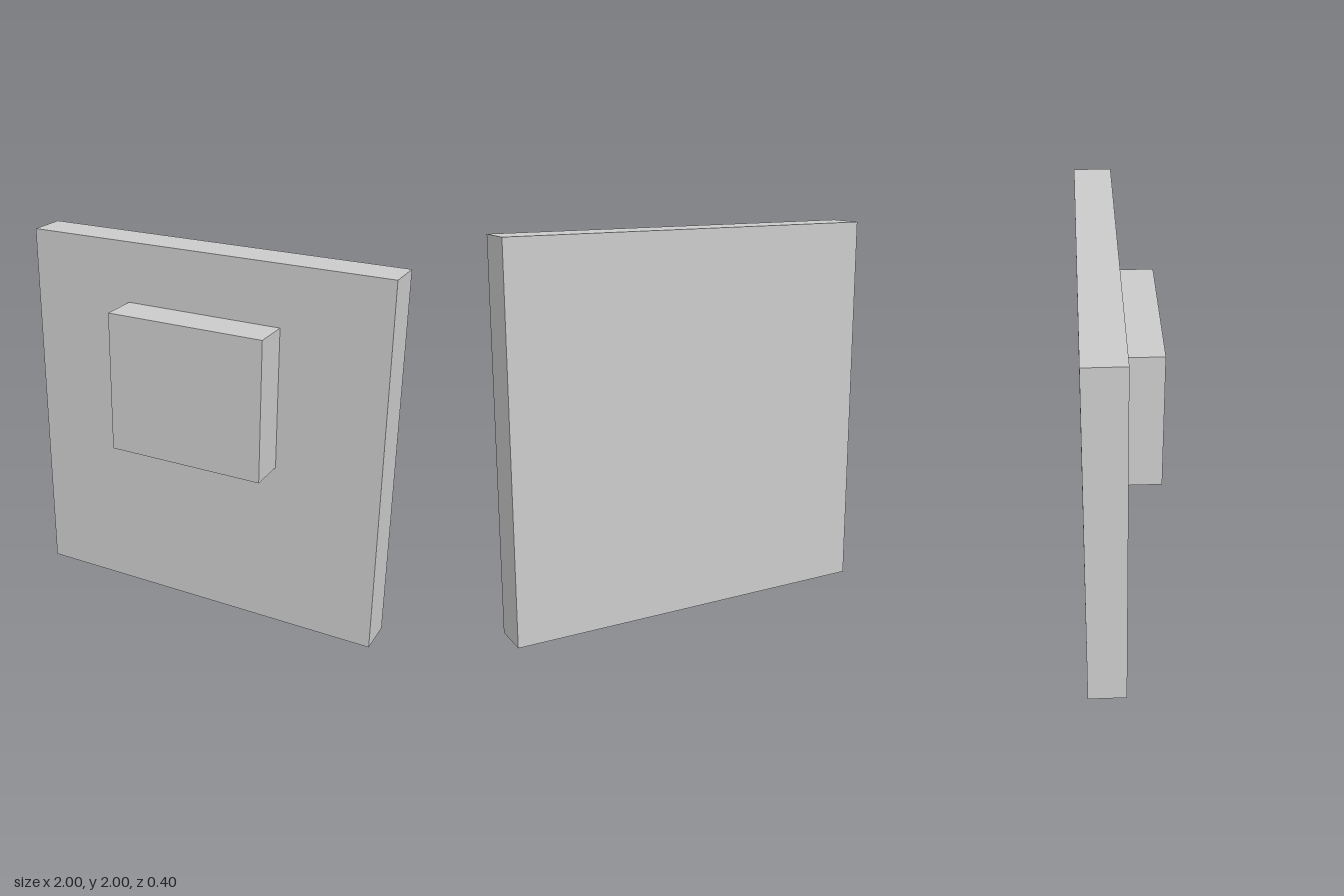
import * as THREE from 'three';

export function createModel() {
  const group = new THREE.Group();
  const material = new THREE.MeshStandardMaterial({ color: 0xcccccc });

  const addBox = (name, size, position) => {
    const mesh = new THREE.Mesh(new THREE.BoxGeometry(...size), material);
    mesh.name = name;
    mesh.position.set(...position);
    group.add(mesh);
  };

  // Square upright panel, occupying the rear half of the depth
  addBox('backPanel', [2, 2, 0.2], [0, 1, -0.1]);

  // Raised block on the front face, above the middle
  addBox('frontBlock', [0.86, 0.755, 0.2], [0, 1.3025, 0.1]);

  return group;
}
